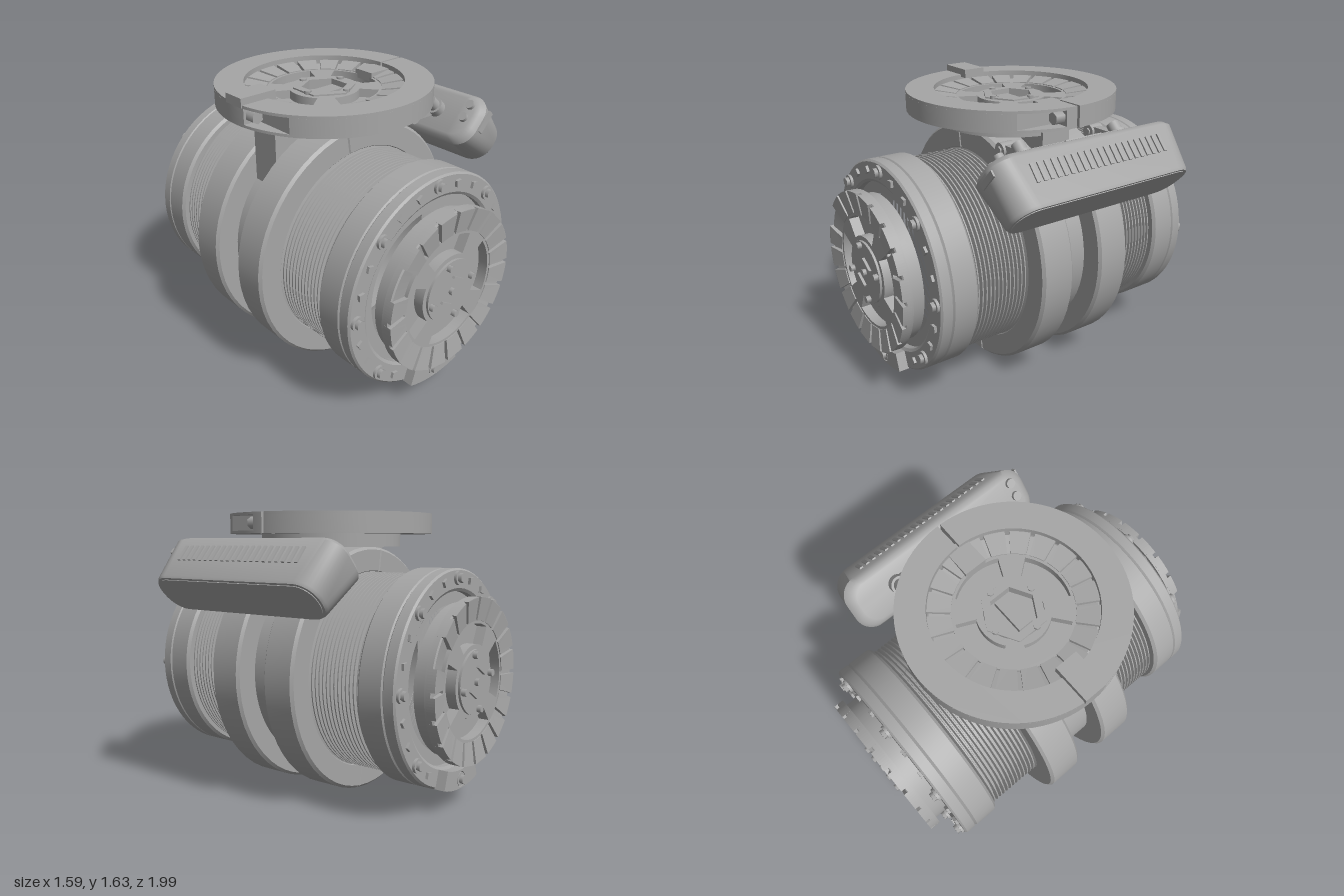
import * as THREE from 'three';
import { toCreasedNormals } from 'three/addons/utils/BufferGeometryUtils.js';

const metal = new THREE.MeshStandardMaterial({ color: 0xa6a6a6 });
metal.name = 'machined grey';
const CX = -0.095, CY = 0.715; // main axis
const rad = THREE.MathUtils.degToRad;

function add(parent, name, geo, x = 0, y = 0, z = 0) {
  const m = new THREE.Mesh(geo, metal);
  m.name = name;
  m.position.set(x, y, z);
  parent.add(m);
  return m;
}
const box = (w, h, d) => new THREE.BoxGeometry(w, h, d);
const cylZ = (r, len, n = 24) => new THREE.CylinderGeometry(r, r, len, n).rotateX(Math.PI / 2);
const cylX = (r, len, n = 24) => new THREE.CylinderGeometry(r, r, len, n).rotateZ(Math.PI / 2);

// Turned part about z; profile is [radius, z]
function turned(profile, segs = 64) {
  const g = new THREE.LatheGeometry(profile.map(p => new THREE.Vector2(p[0], p[1])), segs);
  return toCreasedNormals(g.rotateX(Math.PI / 2).scale(1, 1, 1), rad(30));
}
// Arc-shaped shape between two radii, angles in degrees
function arcShape(r0, r1, a0, a1) {
  const s = new THREE.Shape();
  s.absarc(0, 0, r1, rad(a0), rad(a1), false);
  s.absarc(0, 0, r0, rad(a1), rad(a0), true);
  s.closePath();
  return s;
}
function extrude(shape, z0, z1, segs = 24, bevel = 0) {
  const g = new THREE.ExtrudeGeometry(shape, {
    depth: z1 - z0 - 2 * bevel, curveSegments: segs, bevelEnabled: bevel > 0,
    bevelSize: bevel, bevelThickness: bevel, bevelSegments: 1
  });
  return toCreasedNormals(g.translate(0, 0, z0 + bevel), rad(30));
}
// Loft of rounded rectangles [x, halfY, halfZ, cornerRadius] along x, capped
function loft(sections, n = 8) {
  const pos = [], idx = [], count = 4 * (n + 1);
  for (const [x, hy, hz, r] of sections)
    for (let c = 0; c < 4; c++)
      for (let i = 0; i <= n; i++) {
        const a = (c + i / n) * Math.PI / 2;
        const sy = c === 0 || c === 3 ? 1 : -1, sz = c < 2 ? 1 : -1;
        pos.push(x, sy * (hy - r) + r * Math.cos(a), sz * (hz - r) + r * Math.sin(a));
      }
  for (let s = 0; s < sections.length - 1; s++)
    for (let i = 0; i < count; i++) {
      const a = s * count + i, b = s * count + (i + 1) % count;
      idx.push(a, b, a + count, b, b + count, a + count);
    }
  const last = (sections.length - 1) * count;
  for (let i = 1; i < count - 1; i++) {
    idx.push(0, i + 1, i);
    idx.push(last, last + i, last + i + 1);
  }
  const g = new THREE.BufferGeometry();
  g.setAttribute('position', new THREE.Float32BufferAttribute(pos, 3));
  g.setIndex(idx);
  return toCreasedNormals(g, rad(40));
}

// Dished face plate with wedges, kidney pockets and a hub, facing +z
function facePlate(openHub) {
  const g = new THREE.Group();
  g.name = 'facePlate';
  add(g, 'plateDish', turned([[0, 0.84], [0.415, 0.84], [0.415, 0.92], [0.45, 0.92], [0.45, 0.955],
    [0.44, 0.96], [0.32, 0.935], [0.32, 0.9], [0, 0.9]]));
  for (let i = 0; i < 20; i++) {
    if (!openHub && i === 8) continue;
    const a = i * 18;
    const w = extrude(arcShape(0.325, 0.45, a + 1.6, a + 16.4), 0.93, 0.98, 4);
    // wedge tops slope down towards the hub
    const p = w.attributes.position;
    for (let k = 0; k < p.count; k++)
      if (p.getZ(k) > 0.97 && Math.hypot(p.getX(k), p.getY(k)) < 0.4) p.setZ(k, 0.962);
    w.computeVertexNormals();
    add(g, 'plateWedge', w);
  }
  const web = new THREE.Shape().absarc(0, 0, 0.33, 0, Math.PI * 2);
  for (let i = 0; i < 4; i++)
    web.holes.push(new THREE.Path(arcShape(0.2, 0.31, i * 90 - 25, i * 90 + 38).getPoints(10)));
  if (openHub) web.holes.push(new THREE.Path().absarc(0, 0, 0.16, 0, Math.PI * 2));
  add(g, 'pocketWeb', extrude(web, 0.9, 0.957, 20));
  if (openHub) {
    add(g, 'hubCollar', turned([[0.13, 0.9], [0.18, 0.9], [0.18, 0.965], [0.13, 0.965], [0.13, 0.9]], 6));
    add(g, 'hubLatch', box(0.2, 0.09, 0.04), 0, 0, 0.92);
  } else {
    add(g, 'hub', cylZ(0.175, 0.06, 40), 0, 0, 0.94);
    add(g, 'hubPin', cylZ(0.02, 0.03, 8), 0, 0, 0.975);
    for (const s of [-1, 1])
      add(g, 'hubBar', box(0.09, 0.014, 0.02), s * 0.04, s * 0.06, 0.975).rotation.z = -0.55;
  }
  for (let i = 0; i < 4; i++) {
    const a = rad(12 + 90 * i);
    add(g, 'hubScrew', cylZ(0.02, 0.03, 6), 0.152 * Math.cos(a), 0.152 * Math.sin(a), openHub ? 0.96 : 0.98);
  }
  return g;
}

// Flange, bolts and face plate for one end of the drum
function drumEnd() {
  const g = new THREE.Group();
  g.name = 'drumEnd';
  add(g, 'flange', turned([[0.44, 0.62], [0.58, 0.62], [0.595, 0.635], [0.595, 0.765], [0.587, 0.772],
    [0.595, 0.78], [0.595, 0.835], [0.585, 0.845], [0.49, 0.845], [0.475, 0.835], [0.475, 0.8], [0.4, 0.8]], 72));
  for (let i = 0; i < 8; i++) {
    const a = rad(45 * i), x = 0.545 * Math.cos(a), y = 0.545 * Math.sin(a);
    const low = i === 6 ? 0.04 : 0;
    add(g, 'boltWasher', cylZ(0.038, 0.02, 20), x, y, 0.85 + low);
    add(g, 'boltHead', cylZ(0.026, 0.04, 6), x, y, 0.86 + low);
    for (const s of [-15, 15]) {
      const b = a + rad(s);
      add(g, 'squareStud', box(0.034, 0.034, 0.02), 0.54 * Math.cos(b), 0.54 * Math.sin(b), 0.85).rotation.z = b + 0.3;
    }
  }
  const lug = arcShape(0.49, 0.595, 252, 288);
  lug.holes.push(new THREE.Path().absarc(0, -0.545, 0.043, 0, Math.PI * 2));
  add(g, 'bottomLug', extrude(lug, 0.84, 0.9, 12));
  g.add(facePlate(false));
  return g;
}

// Drum core with fine fins on both sides of a plain centre
function buildDrum(g) {
  const profile = [[0.4, -0.63]];
  const fins = [];
  for (let i = 0; i < 13; i++) {
    const z = 0.3 + i * 0.0245;
    fins.push([0.525, z], [0.562, z + 0.005], [0.562, z + 0.012], [0.525, z + 0.017]);
  }
  profile.push(...fins.map(p => [p[0], -p[1]]).reverse());
  profile.push([0.57, -0.29], [0.57, 0.29], ...fins, [0.4, 0.63]);
  add(g, 'finnedDrum', turned(profile, 60));
}

// Side box with grille, hung on a bracket
function sideBox() {
  const g = new THREE.Group();
  g.name = 'sideBox';
  g.position.set(0.4825, 1.375, 0);
  g.rotation.z = Math.atan2(-0.687, 0.727);
  add(g, 'boxShell', loft([[0, 0.115, 0.555, 0.09], [0.012, 0.138, 0.585, 0.1], [0.04, 0.155, 0.605, 0.11],
    [0.295, 0.131, 0.58, 0.12], [0.31, 0.125, 0.57, 0.115]]));
  add(g, 'endPanel', loft([[0.305, 0.112, 0.555, 0.103], [0.314, 0.112, 0.555, 0.103]]));
  for (let i = 0; i < 21; i++)
    add(g, 'grilleBar', box(0.1, 0.014, 0.02), 0.14, 0.147, -0.42 + i * 0.042).rotation.z = -0.094;
  for (const z of [-0.32, 0.32]) {
    add(g, 'boxBoss', cylX(0.05, 0.05), -0.02, 0, z);
    add(g, 'bossCap', cylX(0.036, 0.1), -0.05, 0, z);
  }
  add(g, 'bracketRail', box(0.05, 0.075, 0.66), -0.015, 0, 0);
  add(g, 'railSlot', box(0.02, 0.035, 0.24), -0.003, 0.085, 0);
  for (const y of [0.02, 0.1]) add(g, 'boxScrew', cylX(0.026, 0.03, 16), -0.005, y - 0.02, 0.515);
  add(g, 'endPort', box(0.035, 0.13, 0.01), 0.075, 0.04, 0.603);
  return g;
}

// Vertical mount on top: neck, split clamp ring and dished plate
function topMount() {
  const g = new THREE.Group();
  g.name = 'topMount';
  add(g, 'saddleWeb', box(0.83, 0.55, 0.18), CX, 1.165, 0);
  add(g, 'neck', new THREE.CylinderGeometry(0.41, 0.41, 0.09, 48), CX, 1.465, 0);
  add(g, 'neckTab', box(0.1, 0.05, 0.12), -0.51, 1.465, 0);
  const ring = new THREE.Group();
  ring.name = 'topClamp';
  ring.rotation.x = -Math.PI / 2; // local -y faces the front
  ring.position.x = CX;
  g.add(ring);
  const full = arcShape(0.435, 0.593, 0.8, 359.2);
  // the middle layer leaves room for the clamp bolts
  const notched = new THREE.Shape();
  notched.absarc(0, 0, 0.593, rad(0.8), rad(187), false);
  notched.lineTo(-0.5, -0.07);
  notched.absarc(0, 0, 0.593, rad(212.5), rad(327.5), false);
  notched.lineTo(0.5, -0.07);
  notched.absarc(0, 0, 0.593, rad(353), rad(359.2), false);
  notched.absarc(0, 0, 0.435, rad(359.2), rad(0.8), true);
  add(ring, 'clampBase', extrude(full, 1.493, 1.508, 40));
  add(ring, 'clampBody', extrude(notched, 1.508, 1.592, 40));
  add(ring, 'clampTop', extrude(full, 1.592, 1.607, 40));
  for (const s of [-1, 1])
    add(g, 'clampBolt', cylZ(0.034, 0.06, 6), CX + s * 0.545, 1.55, 0.1);
  add(g, 'ringBlock', box(0.214, 0.05, 0.13), -0.583, 1.618, 0);
  add(g, 'ringKey', box(0.17, 0.05, 0.13), 0.285, 1.56, 0);
  const plate = facePlate(true);
  plate.rotation.x = -Math.PI / 2;
  plate.scale.set(0.965, 0.965, 1);
  plate.position.set(CX, 0.6, 0);
  g.add(plate);
  return g;
}

export function createModel() {
  const model = new THREE.Group();
  model.name = 'motorJoint';
  const drum = new THREE.Group();
  drum.name = 'drum';
  drum.position.set(CX, CY, 0);
  model.add(drum);
  buildDrum(drum);
  const front = drumEnd(), back = drumEnd();
  back.rotation.y = Math.PI;
  drum.add(front, back);

  // two split clamps around the drum
  for (const z of [-0.295, 0.092])
    for (const a of [98.6, 278.6])
      add(drum, 'clampHalf', extrude(arcShape(0.57, 0.69, a, a + 178.8), z, z + 0.203, 14, 0.015));

  model.add(topMount(), sideBox());
  // hinge arms from the clamps to the side box
  for (const z of [-0.3, 0.3]) {
    add(model, 'hingeEye', cylZ(0.04, 0.08), 0.28, 1.38, z);
    add(model, 'hingePin', cylZ(0.022, 0.1, 6), 0.28, 1.38, z);
    add(model, 'hingeArm', box(0.18, 0.06, 0.05), 0.37, 1.38, z);
  }
  return model;
}
